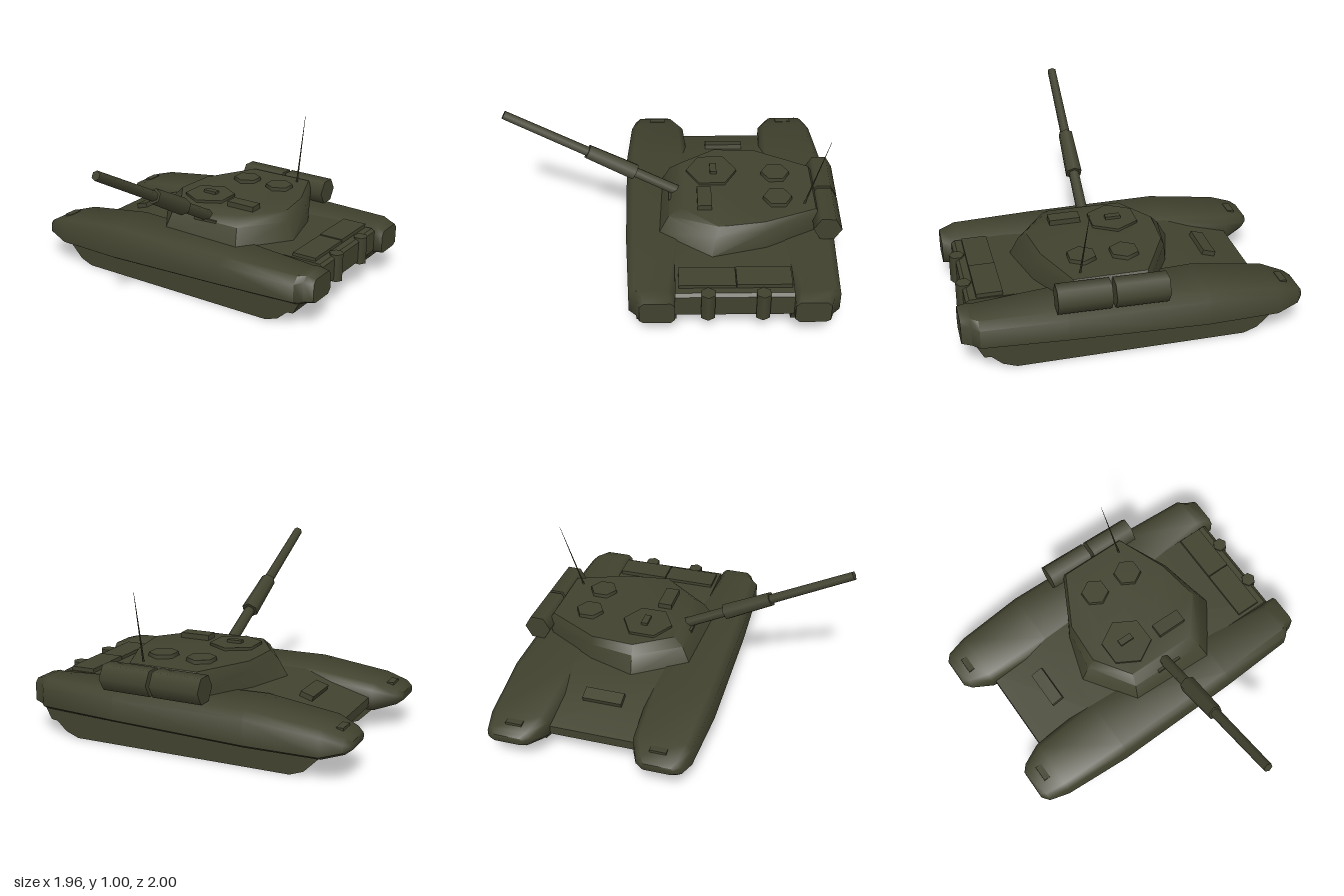
import * as THREE from 'three';
import { toCreasedNormals } from 'three/addons/utils/BufferGeometryUtils.js';

const MID = -0.335; // z of the hull's centre line
const olive = new THREE.MeshStandardMaterial({ color: 0x42422f });
olive.name = 'olive paint';

// Skin over equal rings of points, counter-clockwise about the loft direction, with end caps
function loft(rings, crease = 0.7) {
  const pos = [];
  const tri = (a, b, c) => pos.push(...a, ...b, ...c);
  const n = rings[0].length;
  for (let i = 0; i < rings.length - 1; i++) {
    for (let j = 0; j < n; j++) {
      const k = (j + 1) % n, r = rings[i], s = rings[i + 1];
      tri(r[j], r[k], s[k]);
      tri(r[j], s[k], s[j]);
    }
  }
  const first = rings[0], last = rings[rings.length - 1];
  for (let j = 1; j < n - 1; j++) {
    tri(first[0], first[j + 1], first[j]);
    tri(last[0], last[j], last[j + 1]);
  }
  const g = new THREE.BufferGeometry();
  g.setAttribute('position', new THREE.Float32BufferAttribute(pos, 3));
  return toCreasedNormals(g, crease);
}

// Side profile in x, y pulled along z
function profile(points, z0, z1) {
  const shape = new THREE.Shape(points.map(p => new THREE.Vector2(...p)));
  const g = new THREE.ExtrudeGeometry(shape, { depth: z1 - z0, bevelEnabled: false });
  g.translate(0, 0, z0);
  return toCreasedNormals(g, 0.6);
}

export function createModel() {
  const model = new THREE.Group();
  model.name = 'tank';
  const add = (name, geometry, parent = model) => {
    const m = new THREE.Mesh(geometry, olive);
    m.name = name;
    parent.add(m);
    return m;
  };
  const box = (name, x0, x1, y0, y1, z0, z1, parent) => {
    const m = add(name, new THREE.BoxGeometry(x1 - x0, y1 - y0, z1 - z0), parent);
    m.position.set((x0 + x1) / 2, (y0 + y1) / 2, (z0 + z1) / 2);
    return m;
  };
  // Six-sided rod between two points
  const rod = (name, a, b, ra, rb, parent, turn = 0) => {
    const A = new THREE.Vector3(...a), B = new THREE.Vector3(...b);
    const g = new THREE.CylinderGeometry(rb, ra, A.distanceTo(B), 6);
    g.rotateY(turn);
    const m = add(name, g, parent);
    m.position.copy(A).add(B).multiplyScalar(0.5);
    m.quaternion.setFromUnitVectors(new THREE.Vector3(0, 1, 0), B.sub(A).normalize());
    return m;
  };

  // Central hull with sloped nose and tail
  add('hull', profile([
    [-0.8, 0.15], [-0.62, 0.09], [0.8, 0.09], [0.92, 0.18], [0.92, 0.31],
    [0.9, 0.325], [-0.4, 0.33], [-0.8, 0.205]], MID - 0.335, MID + 0.335));

  // Fender sections: x, bottom, top, inner z, outer z, chamfer
  const fender = [
    [-0.98, 0.185, 0.23, 0.02, 0.21, 0.015],
    [-0.945, 0.16, 0.25, -0.02, 0.25, 0.03],
    [-0.82, 0.12, 0.285, -0.075, 0.275, 0.035],
    [-0.4, 0.125, 0.335, -0.1, 0.298, 0.04],
    [0.4, 0.145, 0.333, -0.06, 0.285, 0.04],
    [0.88, 0.155, 0.33, 0, 0.262, 0.04],
    [0.92, 0.16, 0.33, 0, 0.22, 0.03],
    [0.975, 0.17, 0.315, 0, 0.2, 0.025],
  ];
  const track = [[-0.83, 0.14], [-0.72, 0.03], [-0.64, 0], [0.68, 0],
    [0.76, 0.03], [0.82, 0.085], [0.86, 0.09], [0.9, 0.17]];

  for (const side of [1, -1]) {
    const name = side > 0 ? 'left' : 'right';
    const flip = z => MID + side * (z - MID);
    const rings = fender.map(([x, b, t, zi, zo, c]) => {
      const ring = [[t, zi + c], [t, zo - c], [t - c, zo], [b + c * 0.6, zo],
        [b, zo - c], [b, zi + c], [b + c, zi], [t - c, zi]]
        .map(([y, z]) => [x, y, flip(z)]);
      return side > 0 ? ring : ring.reverse();
    });
    add(name + 'Fender', loft(rings, 0.9));

    const z = [flip(-0.01), flip(0.22)].sort((a, b) => a - b);
    add(name + 'Track', profile(track, z[0], z[1]));

    const lamp = box(name + 'Headlight', -0.91, -0.87, 0.24, 0.275, -0.05, 0.05);
    lamp.position.z = flip(0.1);
  }

  // Fittings on the hull
  const hatch = box('driverHatch', -0.6, -0.52, 0.27, 0.31, -0.46, -0.22);
  hatch.rotation.z = 0.3;
  box('engineCoverRight', 0.71, 0.86, 0.31, 0.35, -0.66, -0.347);
  box('engineCoverLeft', 0.71, 0.86, 0.31, 0.345, -0.343, -0.02);
  for (const z of [-0.495, -0.185]) {
    rod('exhaust', [0.91, 0.165, z], [0.91, 0.335, z], 0.045, 0.045, model, Math.PI / 6);
  }

  // Turret shell: base ring, shoulder ring and roof ring
  const turret = new THREE.Group();
  turret.name = 'turret';
  model.add(turret);
  const base = [[-0.15, 0.07], [0.38, 0.09], [0.6, -0.22], [0.52, -0.54],
    [0.36, -0.85], [-0.08, -0.85], [-0.27, -0.52], [-0.36, -0.24]];
  const shoulder = [[-0.13, 0.02], [0.35, 0.03], [0.55, -0.24], [0.5, -0.54],
    [0.355, -0.87], [-0.075, -0.87], [-0.26, -0.52], [-0.3, -0.25]];
  const roof = [[-0.11, -0.04], [0.33, -0.04], [0.51, -0.26], [0.47, -0.53],
    [0.35, -0.84], [-0.07, -0.84], [-0.24, -0.52], [-0.255, -0.26]];
  const level = (ring, y) => ring.map(([x, z]) => [x, y, z]);
  add('turretShell', loft([level(base, 0.325), level(shoulder, 0.43), level(roof, 0.478)], 0.75), turret);

  // Roof hatches and sights
  rod('commanderCupola', [-0.02, 0.47, -0.235], [-0.02, 0.495, -0.235], 0.155, 0.155, turret);
  rod('loaderHatch', [0.01, 0.47, -0.625], [0.01, 0.5, -0.625], 0.09, 0.085, turret);
  rod('rearHatch', [0.255, 0.47, -0.62], [0.255, 0.5, -0.62], 0.09, 0.085, turret);
  box('cupolaSight', -0.065, 0.025, 0.49, 0.512, -0.265, -0.225, turret);
  box('gunnerSight', 0.17, 0.355, 0.47, 0.51, -0.225, -0.14, turret);

  // Raised gun, placed by distance along its axis
  const muzzle = new THREE.Vector3(0.085, 0.98, 0.985);
  const breech = new THREE.Vector3(0.113, 0.43, -0.04);
  const at = t => breech.clone().lerp(muzzle, t).toArray();
  box('mantlet', 0.04, 0.2, 0.415, 0.437, -0.05, 0.03, turret);
  rod('barrel', at(0), at(1), 0.035, 0.028, turret);
  rod('barrelSleeve', at(0.265), at(0.535), 0.053, 0.046, turret);

  // Stowage drums across the back
  const drums = new THREE.Group();
  drums.name = 'stowageDrums';
  drums.position.set(0.15, 0.41, -0.91);
  drums.rotation.y = -0.025;
  turret.add(drums);
  rod('drumRight', [-0.31, 0, 0], [-0.01, 0, 0], 0.084, 0.084, drums);
  rod('drumLeft', [0.01, 0, 0], [0.31, 0, 0], 0.084, 0.084, drums);

  // Whip antenna
  rod('antenna', [0.298, 0.47, -0.775], [0.272, 0.9, -0.905], 0.006, 0.001, turret);
  return model;
}
